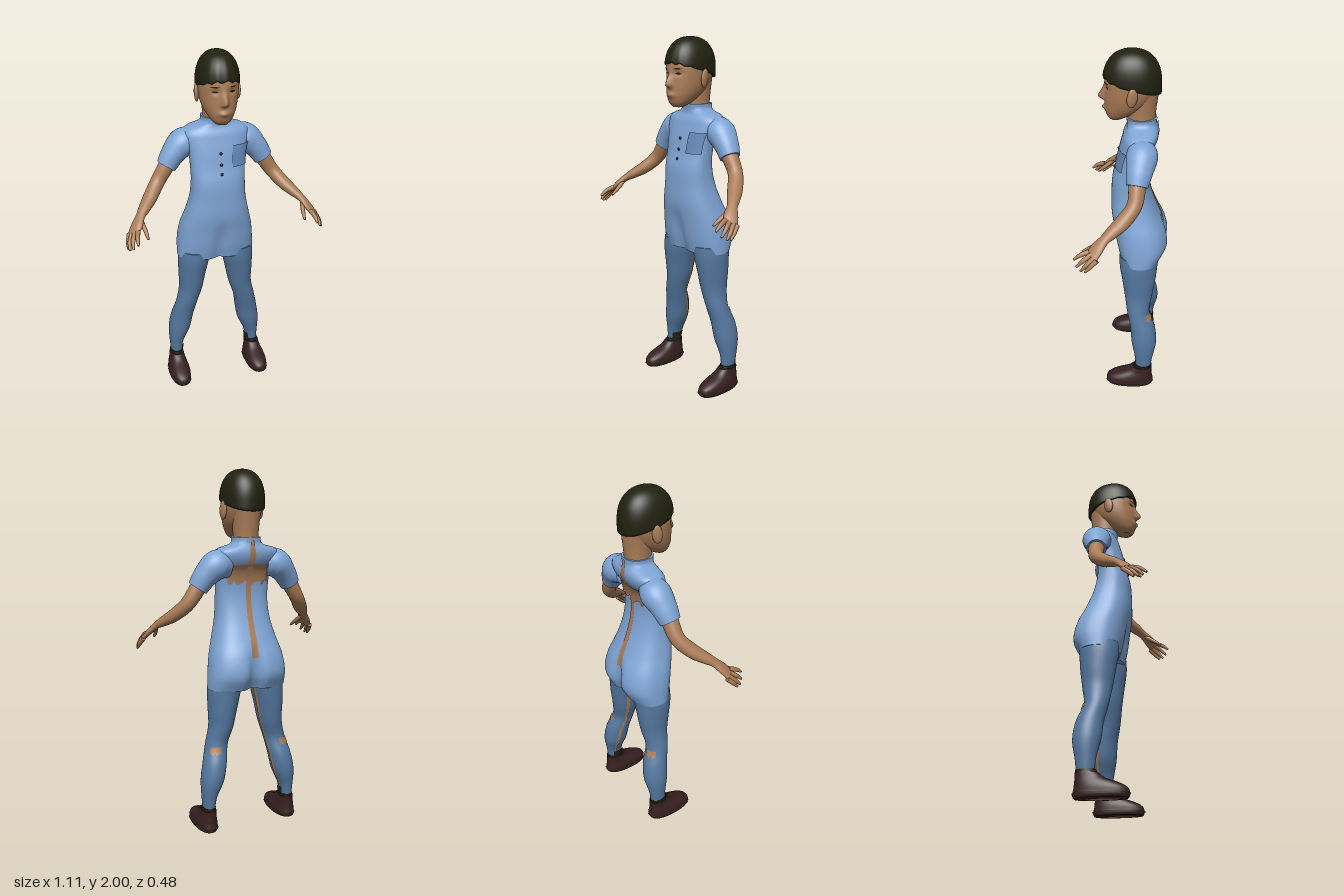
import * as THREE from 'three';
import { mergeVertices, mergeGeometries } from 'three/addons/utils/BufferGeometryUtils.js';

const mat = (name, color) => Object.assign(new THREE.MeshStandardMaterial({ color }), { name });
const PI = Math.PI;
const gauss = (x, w) => Math.exp(-((x / w) ** 2));
const pow = (x, e) => Math.sign(x) * Math.abs(x) ** e;

// Smooth interpolation through rows of numbers; the first column is the parameter
function spline(rows) {
  const cubic = new THREE.CubicInterpolant(rows.map(r => r[0]), rows.flatMap(r => r.slice(1)), rows[0].length - 1);
  return t => [...cubic.evaluate(t)];
}

// Upright form: rows of [y, centreX, halfWidth, frontZ, backZ]; angle 0 faces the front
function upright(rows, e = 1, warp = () => {}) {
  const at = spline(rows);
  return (a, y, off = 0) => {
    const [cx, rx, zf, zb] = at(y);
    const p = new THREE.Vector3(cx + (rx + off) * pow(Math.sin(a), e), y,
      (zf + zb) / 2 + ((zf - zb) / 2 + off) * pow(Math.cos(a), e));
    warp(p, a);
    return p;
  };
}

// Limb along a path: rows of [x, y, z, halfWidth, halfThickness]; ref gives the width direction
function limb(rows, ref) {
  const at = spline(rows.map((r, i) => [i, ...r]));
  const end = rows.length - 1;
  const centre = t => new THREE.Vector3(...at(t));
  return (a, t) => {
    const [x, y, z, ru, rw] = at(t);
    const dir = centre(Math.min(t + 0.05, end)).sub(centre(Math.max(t - 0.05, 0))).normalize();
    const u = ref.clone().addScaledVector(dir, -ref.dot(dir)).normalize();
    const w = u.clone().cross(dir);
    return new THREE.Vector3(x, y, z).addScaledVector(u, ru * Math.sin(a)).addScaledVector(w, rw * Math.cos(a));
  };
}

// Grid over angles a0..a1 and heights v0..v1
function sheet(fn, a0, a1, v0, v1, na, nv) {
  const pos = [], index = [];
  for (let j = 0; j <= nv; j++) for (let i = 0; i <= na; i++) {
    pos.push(...fn(a0 + (a1 - a0) * i / na, v0 + (v1 - v0) * j / nv).toArray());
    if (i < na && j < nv) {
      const k = j * (na + 1) + i, m = k + na + 1;
      index.push(k, k + 1, m + 1, k, m + 1, m);
    }
  }
  let g = new THREE.BufferGeometry();
  g.setAttribute('position', new THREE.Float32BufferAttribute(pos, 3));
  g.setIndex(index);
  g = mergeVertices(g, 1e-5);
  g.computeVertexNormals();
  return g;
}

// Closed form with flat ends
function solid(fn, v0, v1, na = 32, nv = 32) {
  const cap = v => {
    const c = fn(0, v).add(fn(PI, v)).multiplyScalar(0.5);
    return (a, k) => c.clone().lerp(fn(a, v), k);
  };
  return mergeGeometries([
    sheet(fn, -PI, PI, v0, v1, na, nv),
    sheet(cap(v0), -PI, PI, 0, 1, na, 1),
    sheet(cap(v1), -PI, PI, 1, 0, na, 1)]);
}

// Thin patch lying just above a form, with an optional ragged lower edge
function patch(fn, a0, a1, v0, v1, off = 0.005, rag = 0) {
  return sheet((a, k) => {
    const low = v0 + rag * (Math.sin(a * 17) + 0.6 * Math.sin(a * 31));
    return fn(a, low + (v1 - low) * k, off);
  }, a0, a1, 0, 1, 28, 14);
}

// Almond-shaped patch for eyes, brows and lips
const almond = (fn, a0, a1, y, h, off = 0.003) => sheet((s, k) =>
  fn(a0 + (a1 - a0) * s, y + k * h * Math.sin(PI * s), off), 0, 1, -1, 1, 14, 4);

function mirrored(geo) {
  const g = geo.clone().scale(-1, 1, 1), ix = g.index.array;
  for (let i = 0; i < ix.length; i += 3) [ix[i], ix[i + 1]] = [ix[i + 1], ix[i]];
  return g;
}

export function createModel() {
  const root = new THREE.Group();
  root.name = 'figure';
  const shirt = mat('shirt blue', 0x7fa5d5), pocketBlue = mat('pocket blue', 0x6488b8);
  const legBlue = mat('trouser blue', 0x54779f), skin = mat('skin', 0xaa7c57);
  const hairDark = mat('hair olive black', 0x20210f), shoeBrown = mat('shoe brown', 0x36201f);
  const dark = mat('eye dark', 0x2a1a14), lip = mat('lip', 0xa5705a);

  const add = (name, geo, m) => {
    const mesh = new THREE.Mesh(geo, m);
    mesh.name = name;
    root.add(mesh);
  };
  const pair = (name, geo, m) => {
    add('left' + name, geo, m);
    add('right' + name, mirrored(geo), m);
  };

  // Suit body with a cleft at the seat and a fold at the crotch
  const body = upright([
    [0.82, 0, 0.225, 0.03, -0.20], [0.90, 0, 0.222, 0.05, -0.238], [1.0, 0, 0.208, 0.065, -0.225],
    [1.1, 0, 0.18, 0.08, -0.18], [1.2, 0, 0.157, 0.08, -0.14], [1.3, 0, 0.15, 0.075, -0.115],
    [1.38, 0, 0.152, 0.055, -0.11], [1.46, 0, 0.16, 0.04, -0.125], [1.53, 0, 0.183, 0.022, -0.165],
    [1.57, 0, 0.18, 0.01, -0.172], [1.59, 0, 0.15, -0.003, -0.167], [1.605, 0, 0.092, -0.005, -0.16],
    [1.645, 0, 0.076, 0, -0.158]], 0.8, (p, a) => {
    const low = THREE.MathUtils.smoothstep(1.1 - p.y, 0, 0.2);
    p.z += gauss(p.x, 0.035) * low * (Math.cos(a) < 0 ? 0.05 : -0.025);
  });
  add('suitBody', solid(body, 0.82, 1.645, 72, 60), shirt);
  add('chestPocket', patch(body, 0.31, 1.13, 1.385, 1.5, 0.008), pocketBlue);
  add('backOpening', patch(body, PI - 0.055, PI + 0.055, 1.0, 1.64), skin);
  add('bareBack', patch(body, PI - 0.75, PI + 0.75, 1.4, 1.5, 0.006, 0.01), skin);
  for (const y of [1.46, 1.4, 1.35]) {
    const b = new THREE.SphereGeometry(0.008, 12, 8).scale(1, 1, 0.6);
    const p = body(0, y);
    add('button', b.translate(0, p.y, p.z + 0.002), dark);
  }

  // Sleeves and arms
  const sleeve = limb([[0.11, 1.5, -0.085, 0.06, 0.07], [0.175, 1.5, -0.09, 0.082, 0.08],
    [0.235, 1.445, -0.08, 0.07, 0.066], [0.278, 1.38, -0.07, 0.056, 0.055]], new THREE.Vector3(0, 0, -1));
  pair('Sleeve', solid(sleeve, 0, 3, 32, 24), shirt);
  const across = new THREE.Vector3(0.67, -0.2, -0.72).normalize();
  const arm = limb([[0.20, 1.48, -0.085, 0.045, 0.045], [0.27, 1.39, -0.072, 0.045, 0.045],
    [0.33, 1.30, -0.06, 0.04, 0.04], [0.385, 1.235, -0.005, 0.041, 0.036], [0.43, 1.195, 0.05, 0.034, 0.028],
    [0.458, 1.17, 0.085, 0.028, 0.02], [0.485, 1.135, 0.12, 0.037, 0.017], [0.51, 1.10, 0.145, 0.036, 0.013]], across);
  pair('Arm', solid(arm, 0, 7, 24, 48), skin);
  const fingers = {
    Thumb: [[0.46, 1.155, 0.1], [0.446, 1.115, 0.155], [0.44, 1.085, 0.2]],
    IndexFinger: [[0.487, 1.118, 0.16], [0.497, 1.10, 0.205], [0.5, 1.075, 0.238]],
    MiddleFinger: [[0.502, 1.11, 0.148], [0.52, 1.08, 0.19], [0.524, 1.048, 0.222]],
    RingFinger: [[0.516, 1.10, 0.133], [0.535, 1.066, 0.171], [0.54, 1.033, 0.2]],
    LittleFinger: [[0.528, 1.092, 0.118], [0.541, 1.058, 0.153], [0.545, 1.03, 0.178]],
  };
  for (const [name, pts] of Object.entries(fingers)) {
    const r = [0.013, 0.0115, 0.006];
    pair(name, solid(limb(pts.map((p, i) => [...p, r[i], r[i]]), across), 0, 2, 12, 10), skin);
  }

  // Legs with bare strips at the inner seam and behind the knee
  const leg = upright([[0.12, 0.245, 0.033, -0.07, -0.16], [0.2, 0.242, 0.042, -0.065, -0.17],
    [0.3, 0.222, 0.065, -0.045, -0.19], [0.4, 0.203, 0.067, -0.035, -0.18], [0.5, 0.18, 0.064, -0.015, -0.145],
    [0.6, 0.153, 0.069, 0, -0.16], [0.7, 0.143, 0.08, 0.015, -0.175], [0.8, 0.132, 0.091, 0.03, -0.185],
    [0.86, 0.125, 0.092, 0.03, -0.19]]);
  pair('Leg', solid(leg, 0.12, 0.86, 40, 48), legBlue);
  pair('InnerSeam', patch(leg, -2.0, -1.78, 0.18, 0.82), skin);
  pair('BareKneeBack', patch(leg, 2.25, 3.2, 0.46, 0.498, 0.005, 0.006), skin);
  pair('SockTongue', patch(leg, -2.1, -0.7, 0.13, 0.19, 0.006, -0.01), hairDark);

  // Shoes with ankle socks and worn soles
  const shoe = upright([[0.004, 0.247, 0.058, 0.098, -0.17], [0.015, 0.247, 0.063, 0.104, -0.176],
    [0.032, 0.247, 0.062, 0.105, -0.175], [0.055, 0.247, 0.06, 0.093, -0.17], [0.075, 0.247, 0.054, 0.058, -0.169],
    [0.1, 0.246, 0.046, -0.01, -0.167], [0.13, 0.246, 0.041, -0.05, -0.167]], 0.85);
  pair('Shoe', solid(shoe, 0.004, 0.13, 40, 20), shoeBrown);
  const welt = a => shoe(a, 0.024, 0.003);
  pair('ShoeWelt', sheet((a, k) => welt(a).setY(0.02 + 0.008 * k), -PI, PI, 0, 1, 40, 1), hairDark);
  const sock = upright([[0.1, 0.246, 0.04, -0.05, -0.163], [0.145, 0.245, 0.038, -0.062, -0.166]]);
  pair('Sock', solid(sock, 0.1, 0.145, 28, 3), hairDark);
  pair('WornSole', new THREE.CircleGeometry(0.04, 24).scale(0.8, 2.4, 1).rotateX(PI / 2)
    .translate(0.247, 0, -0.03), skin);

  // Neck and head, with nose, lips and eye sockets shaped into the face
  const neck = upright([[1.56, 0, 0.07, -0.01, -0.15], [1.65, 0, 0.068, -0.005, -0.152], [1.8, 0, 0.08, 0, -0.168]]);
  add('neck', solid(neck, 1.56, 1.8, 36, 12), skin);
  const head = upright([[1.632, 0, 0.03, 0.082, 0.03], [1.65, 0, 0.052, 0.098, -0.01],
    [1.68, 0, 0.072, 0.108, -0.06], [1.72, 0, 0.09, 0.11, -0.11], [1.78, 0, 0.104, 0.108, -0.15],
    [1.85, 0, 0.107, 0.108, -0.165], [1.9, 0, 0.1, 0.095, -0.155], [1.95, 0, 0.065, 0.05, -0.1]], 0.92, (p, a) => {
    if (Math.cos(a) < 0) return;
    const ridge = p.y < 1.75 ? gauss(p.y - 1.75, 0.014) : gauss(p.y - 1.75, 0.05);
    p.z += 0.036 * gauss(p.x, 0.017) * ridge;
    p.z += 0.012 * gauss(p.x, 0.03) * gauss(p.y - 1.697, 0.014);
    p.z -= 0.009 * gauss(Math.abs(p.x) - 0.044, 0.022) * gauss(p.y - 1.81, 0.015);
  });
  add('head', solid(head, 1.632, 1.95, 96, 56), skin);
  pair('Eye', almond(head, 0.24, 0.58, 1.81, 0.006), dark);
  pair('Brow', almond(head, 0.2, 0.66, 1.836, 0.004), dark);
  add('lips', almond(head, -0.27, 0.27, 1.697, 0.009), lip);
  const ear = new THREE.SphereGeometry(0.05, 20, 14).scale(0.26, 1, 0.55).rotateY(0.25).rotateX(-0.12);
  pair('Ear', ear.translate(0.112, 1.785, -0.035), skin);

  // Cap of short hair, lower at the nape and ragged at the fringe
  const hair = (a, v) => {
    const front = Math.max(0, Math.cos(a));
    const edge = 1.822 + 0.042 * Math.cos(a) + 0.006 * front * Math.sin(a * 14);
    const s = Math.sin(Math.max(0, v) * PI / 2);
    const y = edge + (2 - edge) * s;
    const h = Math.max(0, (y - 1.83) / 0.17);
    const r = (1 - Math.min(1, h) ** 2.3) ** (1 / 2.3) * (v < 0 ? 0.85 : 1);
    const ripple = 1 + 0.012 * front * Math.sin(a * 14) * (1 - s);
    return new THREE.Vector3(0.114 * r * pow(Math.sin(a), 0.92), y,
      -0.03 + 0.15 * r * ripple * pow(Math.cos(a), 0.92));
  };
  add('hair', sheet(hair, -PI, PI, -1 / 24, 1, 96, 25), hairDark);

  return root;
}
